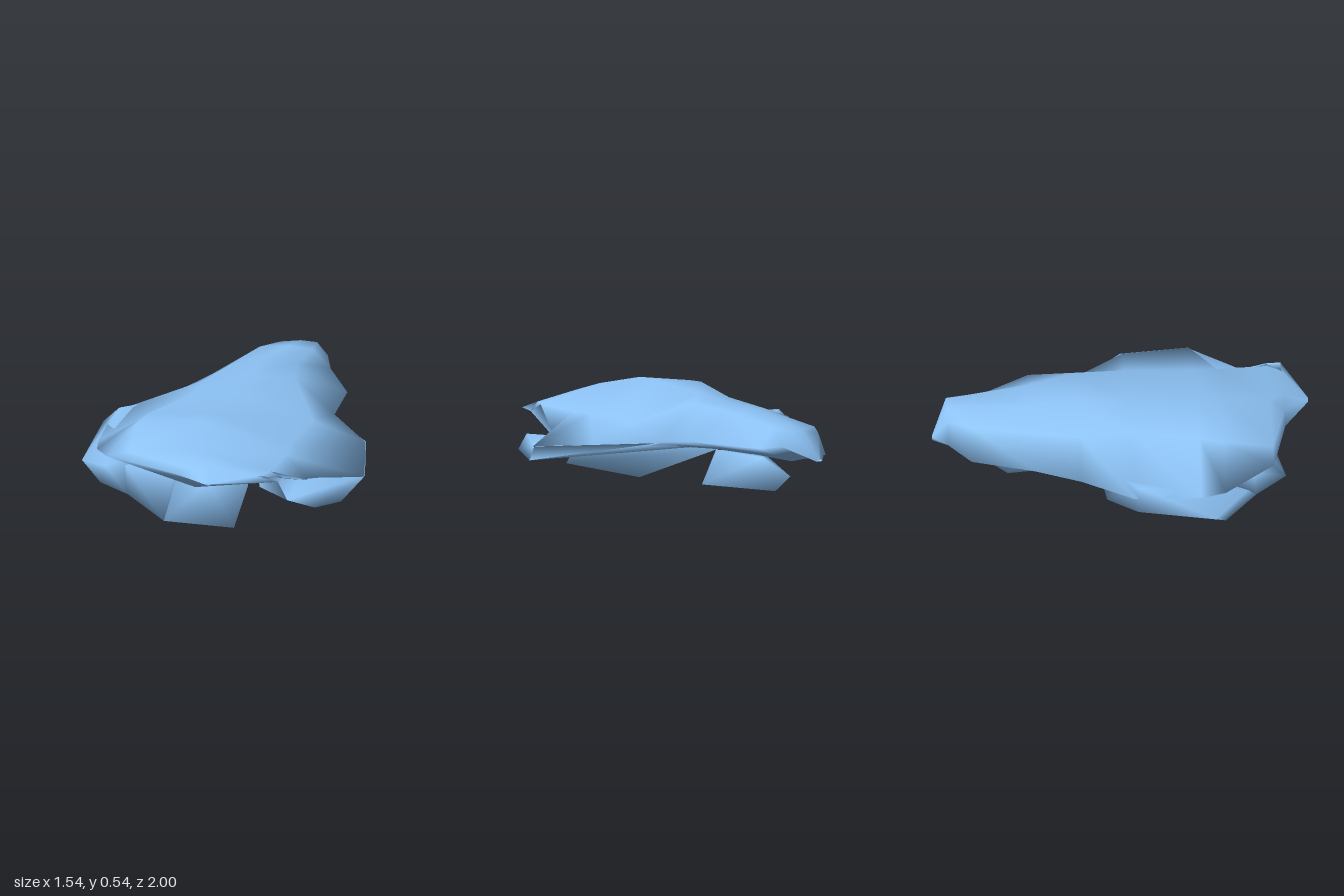
import * as THREE from 'three';
import { mergeVertices } from 'three/addons/utils/BufferGeometryUtils.js';
import { ConvexGeometry } from 'three/addons/geometries/ConvexGeometry.js';

const material = new THREE.MeshStandardMaterial({ color: 0x8ec4f7, side: THREE.DoubleSide });

// Each station: z, then x,y of -x edge, -x ridge, crest, +x ridge, +x edge, then belly y
const stations = [
  [-1.0, -0.04, 0.27, -0.03, 0.28, -0.02, 0.28, -0.01, 0.28, 0, 0.27, 0.27],
  [-0.92, -0.12, 0.29, -0.08, 0.41, 0.03, 0.43, 0.12, 0.43, 0.18, 0.36, 0.29],
  [-0.8, -0.24, 0.26, -0.16, 0.42, 0, 0.445, 0.13, 0.44, 0.23, 0.34, 0.25],
  [-0.47, -0.42, 0.31, -0.24, 0.43, -0.05, 0.485, 0.14, 0.49, 0.42, 0.36, 0.24],
  [-0.23, -0.53, 0.31, -0.3, 0.44, -0.05, 0.5, 0.2, 0.515, 0.42, 0.33, 0.24],
  [0.04, -0.72, 0.32, -0.3, 0.465, -0.08, 0.515, 0.38, 0.4, 0.67, 0.31, 0.24],
  [0.4, -0.7, 0.3, -0.42, 0.495, -0.1, 0.535, 0.36, 0.405, 0.77, 0.27, 0.235],
  [0.53, -0.67, 0.31, -0.45, 0.485, -0.1, 0.538, 0.37, 0.4, 0.5, 0.27, 0.235],
  [0.79, -0.54, 0.39, -0.42, 0.43, -0.05, 0.48, 0.37, 0.41, 0.44, 0.38, 0.27],
  [0.87, -0.14, 0.37, -0.05, 0.41, 0.05, 0.445, 0.32, 0.41, 0.43, 0.39, 0.32],
  [1.0, 0.06, 0.385, 0.07, 0.39, 0.08, 0.39, 0.09, 0.39, 0.1, 0.385, 0.38],
];

// Body skinned through the stations
function bodyGeometry() {
  const positions = [], index = [], n = 8;
  for (const s of stations) {
    const [z, lx, ly, , , cx, , , , rx, ry, belly] = s;
    for (let k = 1; k < 11; k += 2) positions.push(s[k], s[k + 1], z);
    positions.push((rx + cx) / 2, (belly + ry) / 2, z);
    positions.push(cx, belly, z);
    positions.push((lx + cx) / 2, (belly + ly) / 2, z);
  }
  for (let i = 0; i < stations.length - 1; i++) {
    for (let j = 0; j < n; j++) {
      const a = i * n + j, b = i * n + (j + 1) % n, c = a + n, d = b + n;
      index.push(a, c, b, b, c, d);
    }
  }
  const g = new THREE.BufferGeometry();
  g.setAttribute('position', new THREE.Float32BufferAttribute(positions, 3));
  g.setIndex(index);
  g.computeVertexNormals();
  return g;
}

// Rounded-looking lobe: a hull of a few corners with shared normals
function lobeGeometry(corners) {
  const hull = new ConvexGeometry(corners.map(p => new THREE.Vector3(...p)));
  hull.deleteAttribute('normal');
  const g = mergeVertices(hull, 1e-4);
  g.computeVertexNormals();
  return g;
}

export function createModel() {
  const model = new THREE.Group();
  model.name = 'rockForm';
  const add = (name, geometry) => {
    const mesh = new THREE.Mesh(geometry, material);
    mesh.name = name;
    model.add(mesh);
  };
  // Points shared by the lobes under the body
  const pinch = [-0.03, 0.235, -0.16];
  const footTip = [-0.2, 0.09, 0.87];
  const webCorner = [-0.45, 0.145, 0.7];

  add('body', bodyGeometry());
  // Long wedge dropping under the front
  add('frontFoot', lobeGeometry([pinch, [-0.1, 0, 0.53], [0.17, 0.07, 0.81],
    footTip, [-0.25, 0.25, 0.66], [0.2, 0.25, 0.65], [0, 0.28, 0.72]]));
  // Small wedge under the back
  add('backFoot', lobeGeometry([pinch, [0.14, 0.075, -0.24], [-0.04, 0.075, -0.26],
    [-0.06, 0.06, -0.6], [-0.07, 0.15, -0.71], [0.03, 0.25, -0.6], [-0.07, 0.25, -0.5]]));
  // Drooping lobe on the -x side
  add('rightLobe', lobeGeometry([pinch, [-0.65, 0.12, 0.53], webCorner,
    [-0.77, 0.21, 0.47], [-0.77, 0.27, 0.06], [-0.68, 0.36, 0.07], [-0.6, 0.36, 0],
    [-0.63, 0.26, -0.1], [-0.59, 0.27, 0.65]]));
  // Sloping skin joining that lobe to the front foot
  add('web', lobeGeometry([pinch, webCorner, footTip, [-0.2, 0.27, 0.72], [-0.47, 0.3, 0.68]]));
  // Thin wing flap on the +x side
  add('leftWing', lobeGeometry([[0, 0.25, -0.1], [0.68, 0.17, 0.53], [0.59, 0.2, 0.72],
    [0.77, 0.27, 0.39], [0.67, 0.31, 0.03], [0.42, 0.32, -0.2], [0.46, 0.26, 0.8],
    [0.25, 0.23, 0.6]]));
  return model;
}
